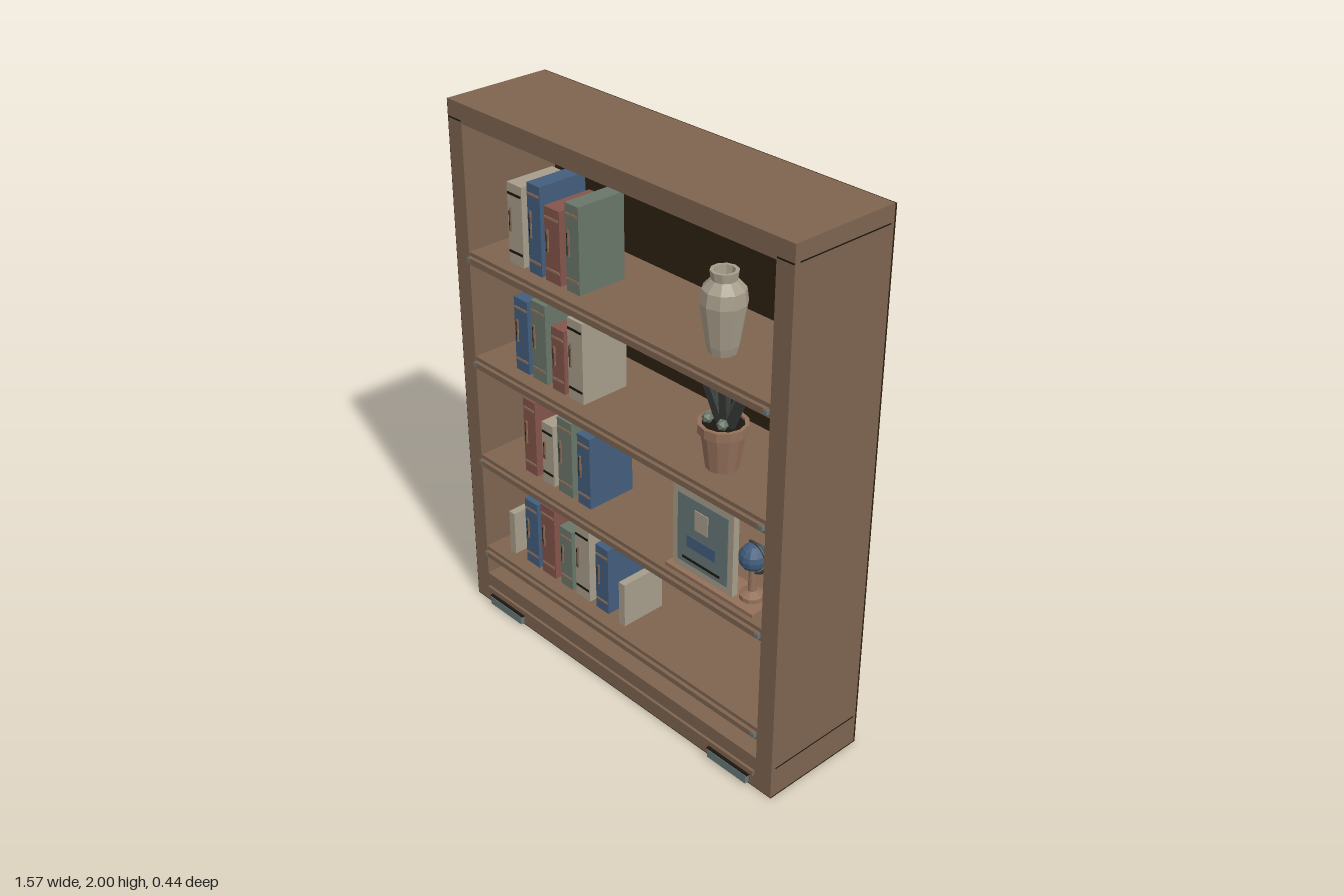
import * as THREE from 'three';

const mat = (name, color) => Object.assign(new THREE.MeshStandardMaterial({ color }), { name });

export function createModel() {
  const wood = mat('wood', 0x7d644f), dark = mat('dark backing', 0x2d2110);
  const line = mat('dark line', 0x1b160f), cream = mat('cream', 0xa69c8a);
  const blue = mat('blue', 0x425d7c), red = mat('red', 0x84544b);
  const green = mat('sage', 0x6a766a), clay = mat('clay', 0x93705a);
  const slate = mat('slate', 0x667777), leaf = mat('leaf', 0x3c423e);
  for (const m of [cream, clay, blue, leaf]) m.flatShading = true;

  const model = new THREE.Group();
  model.name = 'bookcase';

  const add = (parent, name, geo, material, x = 0, y = 0, z = 0) => {
    const mesh = new THREE.Mesh(geo, material);
    mesh.name = name;
    mesh.position.set(x, y, z);
    parent.add(mesh);
    return mesh;
  };
  // Box given by its limits on each axis
  const box = (parent, name, material, x0, x1, y0, y1, z0, z1) =>
    add(parent, name, new THREE.BoxGeometry(x1 - x0, y1 - y0, z1 - z0), material,
      (x0 + x1) / 2, (y0 + y1) / 2, (z0 + z1) / 2);
  const group = (name, x = 0, y = 0, z = 0) => {
    const g = new THREE.Group();
    g.name = name;
    g.position.set(x, y, z);
    model.add(g);
    return g;
  };

  // Carcass
  const carcass = group('carcass');
  box(carcass, 'topBoard', wood, -0.78, 0.78, 1.93, 2, -0.212, 0.2);
  box(carcass, 'base', wood, -0.78, 0.78, 0.005, 0.13, -0.212, 0.2);
  for (const [name, x] of [['leftSide', 0.745], ['rightSide', -0.745]])
    box(carcass, name, wood, x - 0.035, x + 0.035, 0.13, 1.93, -0.212, 0.2);
  box(carcass, 'innerBack', dark, -0.71, 0.71, 0.13, 1.93, -0.212, -0.19);
  box(carcass, 'outerBack', dark, -0.78, 0.78, 0, 1.998, -0.219, -0.212);
  box(carcass, 'rightSkin', dark, -0.784, -0.78, 0, 1.998, -0.219, 0.198);
  box(carcass, 'underside', dark, -0.78, 0.78, 0, 0.005, -0.212, 0.198);

  // Joint lines
  const seams = group('seams');
  for (const y of [0.12, 1.94])
    box(seams, 'sideSeam', line, 0.78, 0.781, y - 0.002, y + 0.002, -0.2, 0.18);
  for (const s of [-1, 1]) {
    box(seams, 'frontSeam', line, s * 0.745 - 0.033, s * 0.745 + 0.033, 1.936, 1.941, 0.2, 0.201);
    box(seams, 'backSeam', line, s * 0.71 - 0.002, s * 0.71 + 0.002, 0.09, 1.93, -0.22, -0.219);
  }
  for (const y of [0.09, 1.93])
    box(seams, 'backSeam', line, -0.71, 0.71, y - 0.002, y + 0.002, -0.22, -0.219);

  // Shelves with front trim and end pins
  const shelves = group('shelves');
  for (const y of [0.23, 0.635, 1.042, 1.447]) {
    box(shelves, 'shelf', wood, -0.71, 0.71, y - 0.024, y + 0.024, -0.19, 0.198);
    box(shelves, 'shelfTrim', wood, -0.705, 0.705, y - 0.01, y + 0.01, 0.198, 0.212);
    for (const s of [-1, 1])
      box(shelves, 'shelfPin', slate, s * 0.7 - 0.008, s * 0.7 + 0.008, y - 0.008, y + 0.008, 0.2, 0.214);
  }

  // Plinth strip and feet
  box(model, 'plinthStrip', wood, -0.705, 0.705, 0.055, 0.075, 0.2, 0.21);
  box(model, 'plinthLine', line, -0.7, 0.7, 0.051, 0.055, 0.2, 0.203);
  for (const s of [-1, 1]) {
    box(model, 'footPlate', slate, s * 0.59 - 0.09, s * 0.59 + 0.09, 0.01, 0.043, 0.2, 0.217);
    box(model, 'footLine', line, s * 0.59 - 0.095, s * 0.59 + 0.095, 0.043, 0.048, 0.2, 0.215);
  }

  // Books: [left edge, right edge, top, colour]
  const rows = [
    [0.254, [[-0.535, -0.465, 0.53, blue], [-0.445, -0.37, 0.55, red], [-0.34, -0.275, 0.505, green],
      [-0.255, -0.18, 0.555, cream], [-0.145, -0.08, 0.525, blue]]],
    [0.659, [[-0.52, -0.455, 0.96, red], [-0.42, -0.36, 0.905, cream], [-0.335, -0.26, 0.96, green],
      [-0.23, -0.165, 0.94, blue]]],
    [1.066, [[-0.545, -0.475, 1.345, blue], [-0.455, -0.38, 1.365, green], [-0.35, -0.285, 1.305, red],
      [-0.265, -0.19, 1.37, cream]]],
    [1.471, [[-0.555, -0.48, 1.76, cream], [-0.45, -0.385, 1.79, blue], [-0.365, -0.29, 1.735, red],
      [-0.26, -0.195, 1.78, green]]],
  ];
  const books = group('books');
  for (const [base, list] of rows) {
    for (const [x0, x1, top, cover] of list) {
      const h = top - base, band = cover === cream ? line : clay;
      box(books, 'book', cover, x0, x1, base, top, -0.05, 0.145);
      box(books, 'lowerBand', band, x0 + 0.004, x1 - 0.004, base + 0.04, base + 0.048, 0.145, 0.148);
      box(books, 'upperBand', band, x0 + 0.004, x1 - 0.004, top - 0.04, top - 0.032, 0.145, 0.148);
      box(books, 'spineMark', clay, x0 + 0.012, x0 + 0.02, base + h * 0.4, base + h * 0.7, 0.145, 0.148);
      box(books, 'spineMarkEdge', line, x0 + 0.007, x0 + 0.012, base + h * 0.4, base + h * 0.66, 0.145, 0.147);
    }
  }
  for (const x of [-0.612, -0.003])
    box(books, 'bookend', cream, x - 0.015, x + 0.015, 0.254, 0.43, -0.03, 0.15);

  // Lathe from [radius, height] pairs
  const turned = (pts, sides) =>
    new THREE.LatheGeometry(pts.map(([r, y]) => new THREE.Vector2(r, y)), sides);

  // Faceted vase
  const vase = group('vase', 0.385, 1.471, 0.07);
  add(vase, 'vaseBody', turned([[0, 0], [0.046, 0], [0.054, 0.03], [0.076, 0.17], [0.07, 0.215],
    [0.042, 0.245], [0.046, 0.275], [0.034, 0.275], [0.03, 0.24], [0, 0.23]], 10), cream);

  // Potted plant with a fan of blades
  const plant = group('plant', 0.395, 1.066, 0.07);
  add(plant, 'pot', turned([[0, 0], [0.056, 0], [0.074, 0.13], [0.084, 0.13], [0.084, 0.162],
    [0.07, 0.162], [0.068, 0.145], [0, 0.145]], 12), clay);
  add(plant, 'soil', new THREE.CylinderGeometry(0.069, 0.069, 0.008, 12), line, 0, 0.15, 0);
  [-0.45, -0.24, -0.06, 0.12, 0.28, 0.5].forEach((tilt, i) => {
    const blade = new THREE.BoxGeometry(0.032, 0.21, 0.012).translate(0, 0.105, 0);
    const m = add(plant, 'leaf', blade, leaf, -Math.sin(tilt) * -0.05, 0.145, 0);
    m.rotation.set(i % 2 ? 0.2 : -0.2, 0, -tilt);
  });
  for (const x of [-0.035, 0.03])
    add(plant, 'bud', new THREE.IcosahedronGeometry(0.02, 0), green, x, 0.175, 0.035);

  // Framed picture on a small board
  const picture = group('picture');
  box(picture, 'displayBoard', clay, 0.25, 0.65, 0.659, 0.672, 0.06, 0.18);
  box(picture, 'frame', cream, 0.265, 0.54, 0.672, 0.985, 0.135, 0.16);
  box(picture, 'pictureField', slate, 0.29, 0.518, 0.7, 0.96, 0.16, 0.163);
  box(picture, 'pictureSquare', cream, 0.37, 0.43, 0.85, 0.925, 0.163, 0.166);
  box(picture, 'pictureBar', blue, 0.335, 0.465, 0.77, 0.815, 0.163, 0.166);
  box(picture, 'pictureLine', line, 0.315, 0.485, 0.718, 0.726, 0.163, 0.166);

  // Small globe on a stand
  const globe = group('globe', 0.58, 0.672, 0.11);
  add(globe, 'globeFoot', turned([[0, 0], [0.042, 0], [0.042, 0.015], [0.014, 0.028], [0.012, 0.11], [0, 0.11]], 12), clay);
  add(globe, 'globeBall', new THREE.SphereGeometry(0.048, 12, 8), blue, 0, 0.155, 0);
  add(globe, 'globeRing', new THREE.TorusGeometry(0.056, 0.005, 6, 20, Math.PI * 1.2), leaf, 0, 0.155, 0)
    .rotation.z = -Math.PI * 0.6;

  return model;
}
